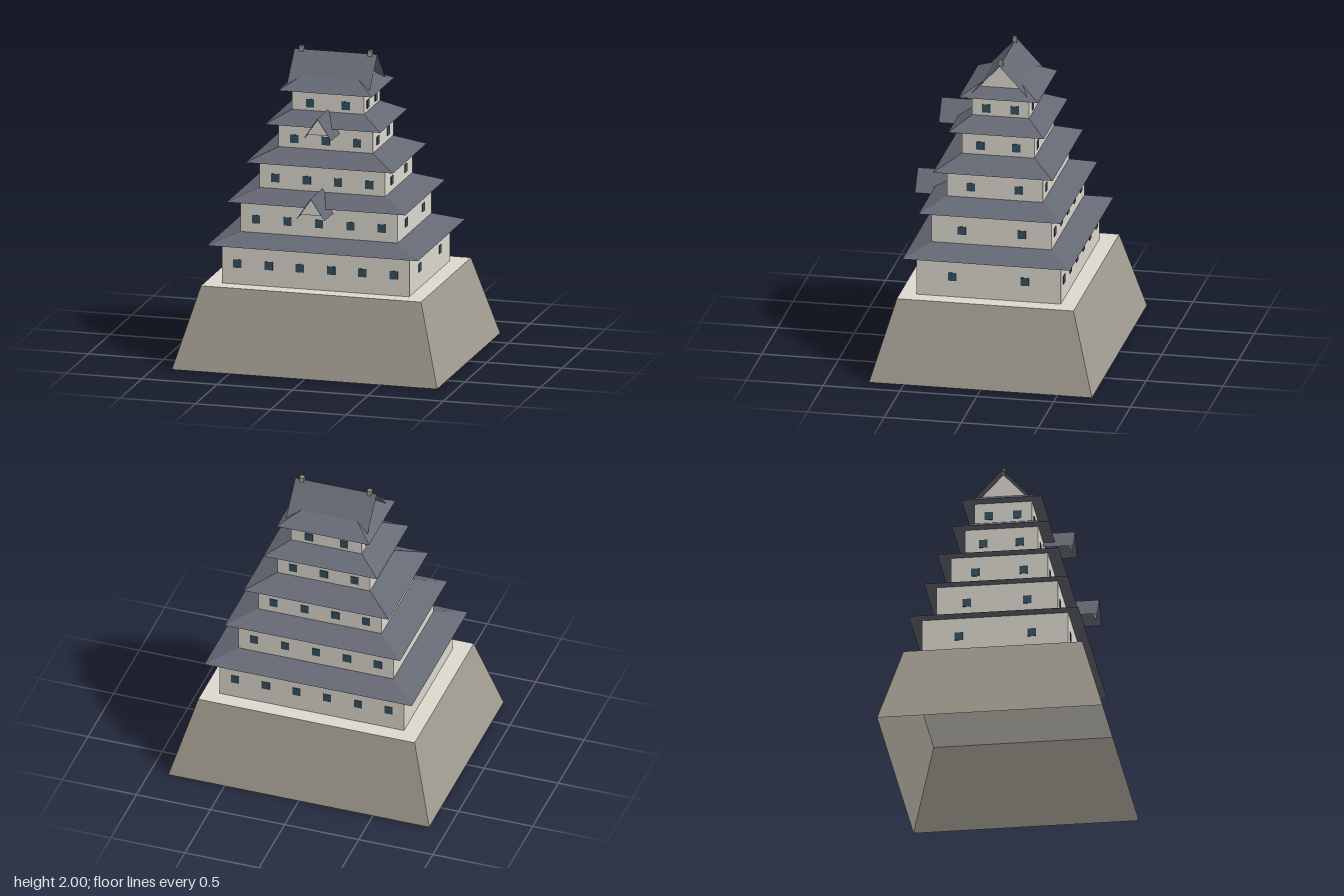
import * as THREE from 'three';

const mat = (name, color, side = THREE.FrontSide) => {
  const m = new THREE.MeshStandardMaterial({ color, side });
  m.name = name;
  return m;
};

export function createModel() {
  const plaster = mat('plaster', 0xdcd8ce, THREE.DoubleSide);
  const stone = mat('stone', 0xa39e92, THREE.DoubleSide);
  const tile = mat('roofTile', 0x646873, THREE.DoubleSide);
  const glass = mat('windowDark', 0x35505f);

  const model = new THREE.Group();
  model.name = 'castleKeep';

  const add = (parent, name, geo, material, x = 0, y = 0, z = 0) => {
    const mesh = new THREE.Mesh(geo, material);
    mesh.name = name;
    mesh.position.set(x, y, z);
    parent.add(mesh);
    return mesh;
  };

  // Box whose upper corners are pulled in; sizes are half extents
  const frustum = (bx, bz, tx, tz, h, open = false) => {
    const g = new THREE.BoxGeometry(2 * bx, h, 2 * bz);
    const p = g.attributes.position;
    for (let i = 0; i < p.count; i++) {
      if (p.getY(i) > 0) {
        p.setX(i, Math.sign(p.getX(i)) * tx);
        p.setZ(i, Math.sign(p.getZ(i)) * tz);
      }
    }
    // Drop the top and bottom faces of an open shell
    if (open) g.setIndex(Array.from(g.index.array).filter((_, i) => i < 12 || i >= 24));
    g.clearGroups();
    g.computeVertexNormals();
    return g.translate(0, h / 2, 0);
  };

  // Two thin slopes meeting in a ridge along z, from z0 to z1
  const slopes = (half, low, high, z0, z1) => {
    const g = new THREE.BufferGeometry();
    const quad = (a, b, c, d) => [...a, ...b, ...c, ...a, ...c, ...d];
    g.setAttribute('position', new THREE.Float32BufferAttribute([
      ...quad([half, low, z1], [half, low, z0], [0, high, z0], [0, high, z1]),
      ...quad([-half, low, z0], [-half, low, z1], [0, high, z1], [0, high, z0]),
    ], 3));
    g.computeVertexNormals();
    return g;
  };

  const triangle = (half, low, high) => new THREE.ShapeGeometry(new THREE.Shape([
    new THREE.Vector2(-half, low), new THREE.Vector2(half, low), new THREE.Vector2(0, high),
  ]));

  // Sloped stone base, open below, with a pale terrace on top
  add(model, 'stoneBase', frustum(0.88, 0.725, 0.73, 0.575, 0.525, true), stone);
  add(model, 'terrace', new THREE.PlaneGeometry(1.46, 1.15).rotateX(-Math.PI / 2), plaster, 0, 0.525, 0);

  // Storeys: wall half sizes, floor, eave, roof half sizes, roof top, window height and count
  const storeys = [
    { w: [0.622, 0.47], y0: 0.525, eave: 0.785, r: [0.7, 0.545], top: 0.852, winY: 0.66, n: 6 },
    { w: [0.522, 0.39], y0: 0.852, eave: 1.058, r: [0.592, 0.462], top: 1.13, winY: 0.94, n: 5 },
    { w: [0.416, 0.312], y0: 1.13, eave: 1.308, r: [0.49, 0.39], top: 1.388, winY: 1.2, n: 4 },
    { w: [0.312, 0.236], y0: 1.388, eave: 1.548, r: [0.384, 0.311], top: 1.627, winY: 1.447, n: 3 },
    { w: [0.238, 0.185], y0: 1.627, eave: 1.763, r: [0.312, 0.258], top: 1.838, winY: 1.675, n: 2 },
  ];
  const win = new THREE.BoxGeometry(0.054, 0.054, 0.008);

  storeys.forEach((s, i) => {
    const storey = new THREE.Group();
    storey.name = `storey${i + 1}`;
    model.add(storey);
    const [wx, wz] = s.w;
    const [tx, tz] = i < 4 ? storeys[i + 1].w : [0.185, 0.128];
    add(storey, 'walls', frustum(wx, wz, wx, wz, s.eave - s.y0), plaster, 0, s.y0, 0);
    add(storey, 'skirtRoof', frustum(s.r[0], s.r[1], tx, tz, s.top - s.eave), tile, 0, s.eave, 0);

    // Evenly spaced windows, front and back
    for (let k = 0; k < s.n; k++) {
      const x = ((k + 0.5) / s.n * 2 - 1) * wx;
      for (const side of [1, -1]) add(storey, 'window', win, glass, x, s.winY, side * wz);
    }
    // Two windows on each end
    for (const z of [-wz / 2, wz / 2]) {
      for (const side of [1, -1]) {
        add(storey, 'endWindow', win, glass, side * wx, s.winY, z).rotation.y = Math.PI / 2;
      }
    }
  });

  // Front dormers: back, front, foot and ridge heights
  [[0.312, 0.587, 1.015, 1.154], [0.185, 0.432, 1.503, 1.642]].forEach(([z0, z1, low, high], i) => {
    const dormer = new THREE.Group();
    dormer.name = `dormer${i + 1}`;
    model.add(dormer);
    add(dormer, 'dormerRoof', slopes(0.093, low, high, z0, z1), tile);
    add(dormer, 'dormerGable', triangle(0.076, low + 0.024, high - 0.004), plaster, 0, 0, z1 - 0.03);
  });

  // Top gable roof with its ridge along x
  const crown = new THREE.Group();
  crown.name = 'topRoof';
  crown.rotation.y = Math.PI / 2;
  model.add(crown);
  add(crown, 'gableRoof', slopes(0.2, 1.763, 1.978, -0.275, 0.275), tile);
  for (const side of [1, -1]) {
    add(crown, 'gableWall', triangle(0.18, 1.775, 1.968), plaster, 0, 0, side * 0.22);
    add(crown, 'ridgeFinial', new THREE.BoxGeometry(0.028, 0.036, 0.028), stone, 0, 1.982, side * 0.228);
  }

  return model;
}
